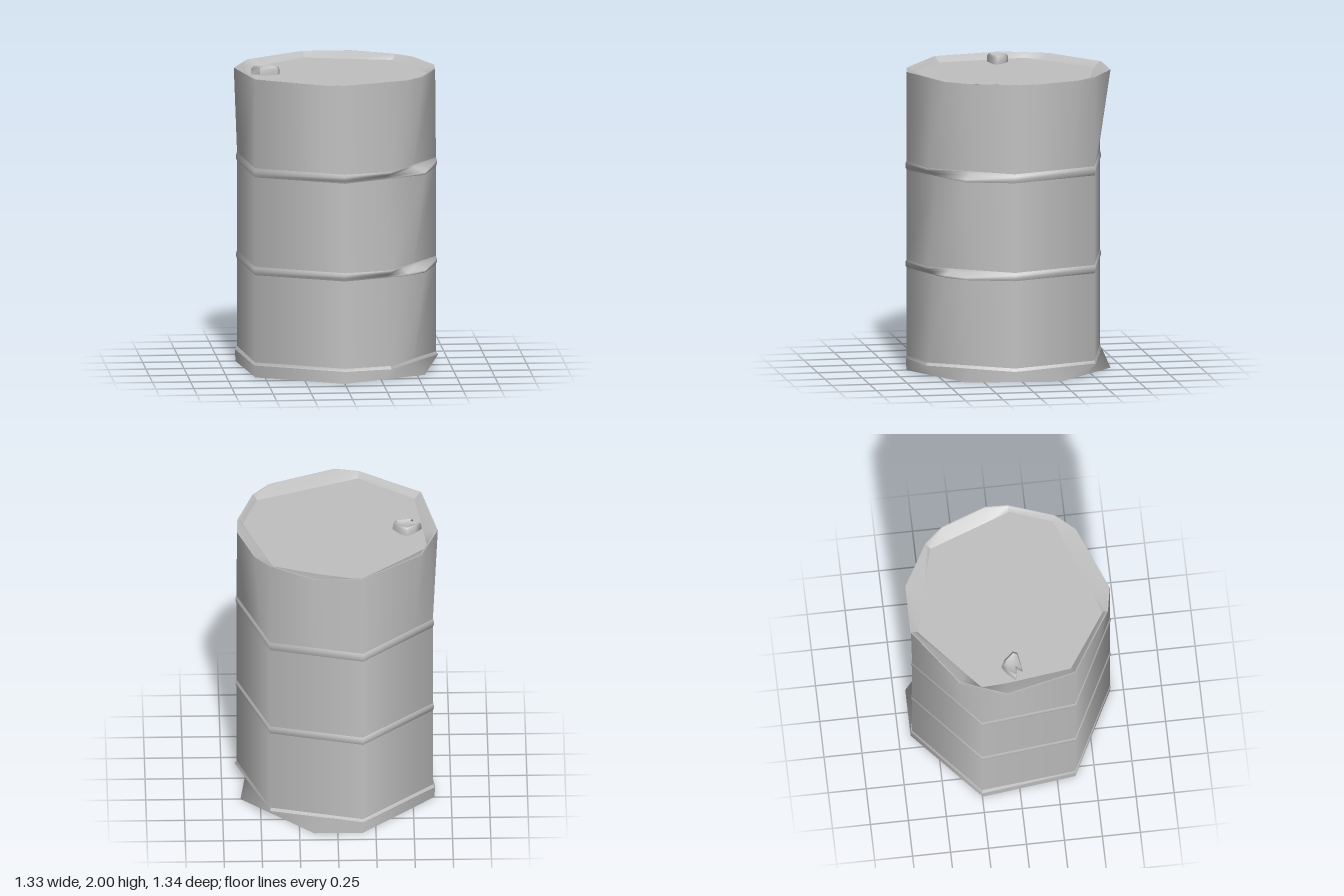
import * as THREE from 'three';

// Irregular plan outlines as [x, z] corners, all around the origin
const side = [[-0.565, 0.37], [-0.63, -0.25], [-0.165, -0.66], [0.44, -0.51], [0.65, 0.06]];
const panelFoot = [...side, [0.31, 0.58], [0, 0.66]];
const panelHead = [...side, [0.55, 0.37], [0, 0.66]];
const lowerHead = [...side, [0.55, 0.37], [0.43, 0.48], [0, 0.66]];
const baseLow = [[0.55, 0.37], [0, 0.66], [-0.565, 0.37], [-0.64, -0.25], [-0.165, -0.67], [0.155, -0.67], [0.63, -0.25]];
const baseHigh = [[0.665, 0.06], [0.31, 0.59], [0, 0.665], [-0.57, 0.375], [-0.645, -0.25], [-0.165, -0.67], [0.44, -0.52]];
const rim = [[-0.565, 0.37], [-0.16, 0.63], [0, 0.66], [0.43, 0.485], [0.54, 0.36], [0.645, 0.06], [0.65, -0.09],
  [0.54, -0.39], [0.44, -0.505], [0.155, -0.67], [-0.165, -0.67], [-0.55, -0.39], [-0.665, -0.09]];
const lidEdge = [[-0.16, -0.62], [0.41, -0.48], [0.61, 0.065], [0.51, 0.345], [-0.155, 0.595], [-0.52, 0.345], [-0.595, -0.24]];
const capEdge = [[-0.09, 0], [-0.05, -0.045], [0.005, -0.085], [0.05, -0.06], [0.1, 0], [0.085, 0.03], [-0.02, 0.015], [-0.035, 0.05]];

const TAU = Math.PI * 2;
const angleOf = ([x, z]) => (Math.atan2(z, x) + TAU) % TAU;

// Distance from the origin to an outline in a given direction
function reach(outline, a) {
  const pts = [...outline].sort((p, q) => angleOf(p) - angleOf(q));
  const c = Math.cos(a), s = Math.sin(a);
  let best = 0;
  pts.forEach((p, i) => {
    const q = pts[(i + 1) % pts.length];
    const ex = q[0] - p[0], ez = q[1] - p[1];
    const det = c * ez - s * ex;
    if (Math.abs(det) < 1e-9) return;
    const r = (p[0] * ez - p[1] * ex) / det;
    const t = (p[0] * s - p[1] * c) / det;
    if (r > 0 && t > -1e-6 && t < 1 + 1e-6) best = Math.max(best, r);
  });
  return best;
}

// Skin through levels of [y, outline, scale]; radial gives round shading
function loft(levels, radial = false) {
  const all = levels.flatMap((l) => l[1]).map(angleOf).sort((a, b) => a - b);
  const angles = all.filter((a, i) => i === 0 || a - all[i - 1] > 0.004);
  const n = angles.length, pos = [], nor = [], idx = [];
  for (const [y, outline, scale = 1] of levels) {
    for (const a of angles) {
      const r = reach(outline, a) * scale;
      pos.push(r * Math.cos(a), y, r * Math.sin(a));
      nor.push(Math.cos(a), 0, Math.sin(a));
    }
  }
  for (let k = 0; k < levels.length - 1; k++) {
    for (let i = 0; i < n; i++) {
      const j = (i + 1) % n, lo = k * n, up = lo + n;
      idx.push(lo + i, up + i, lo + j, up + i, up + j, lo + j);
    }
  }
  const g = new THREE.BufferGeometry();
  g.setAttribute('position', new THREE.Float32BufferAttribute(pos, 3));
  g.setIndex(idx);
  if (radial) g.setAttribute('normal', new THREE.Float32BufferAttribute(nor, 3));
  else g.computeVertexNormals();
  return g;
}

export function createModel() {
  const group = new THREE.Group();
  const steel = new THREE.MeshStandardMaterial({ color: 0xc0c0c0 });
  steel.name = 'grey steel';

  const add = (name, geometry) => {
    const mesh = new THREE.Mesh(geometry, steel);
    mesh.name = name;
    group.add(mesh);
    return mesh;
  };

  // Foot: recessed floor, base band and its sloping shoulder
  add('floor', loft([[0.02, baseLow, 0], [0.02, baseLow, 0.95]]));
  add('floorLip', loft([[0.02, baseLow, 0.95], [0, baseLow, 0.96], [0, baseLow]]));
  add('baseBand', loft([[0, baseLow], [0.08, baseHigh]], true));
  add('baseShoulder', loft([[0.08, baseHigh], [0.1, panelFoot]]));

  // Three wall panels
  add('lowerWall', loft([[0.1, panelFoot], [0.68, lowerHead]], true));
  add('middleWall', loft([[0.735, panelFoot], [1.33, panelHead]], true));
  add('upperWall', loft([[1.39, panelFoot], [1.98, rim]], true));

  // Raised hoops between the panels
  for (const [name, y0, y1, head] of [['lowerHoop', 0.68, 0.735, lowerHead], ['upperHoop', 1.33, 1.39, panelHead]]) {
    const h = y1 - y0;
    add(name, loft([[y0, head], [y0 + h * 0.3, head, 1.01], [y0 + h * 0.7, panelFoot, 1.01], [y1, panelFoot]]));
  }

  // Rim falling inward to the sunken lid
  add('rimLip', loft([[1.98, rim], [1.98, rim, 0.985], [1.945, lidEdge]]));
  add('lid', loft([[1.945, lidEdge], [1.945, lidEdge, 0]]));

  // Small filler cap
  const cap = new THREE.Group();
  cap.name = 'fillerCap';
  cap.position.set(-0.47, 0, -0.02);
  const capSide = add('capSide', loft([[1.945, capEdge], [1.985, capEdge, 0.97], [2, capEdge, 0.8]]));
  const capTop = add('capTop', loft([[2, capEdge, 0.8], [1.99, capEdge, 0.5], [1.99, capEdge, 0]]));
  cap.add(capSide, capTop);
  group.add(cap);

  return group;
}
